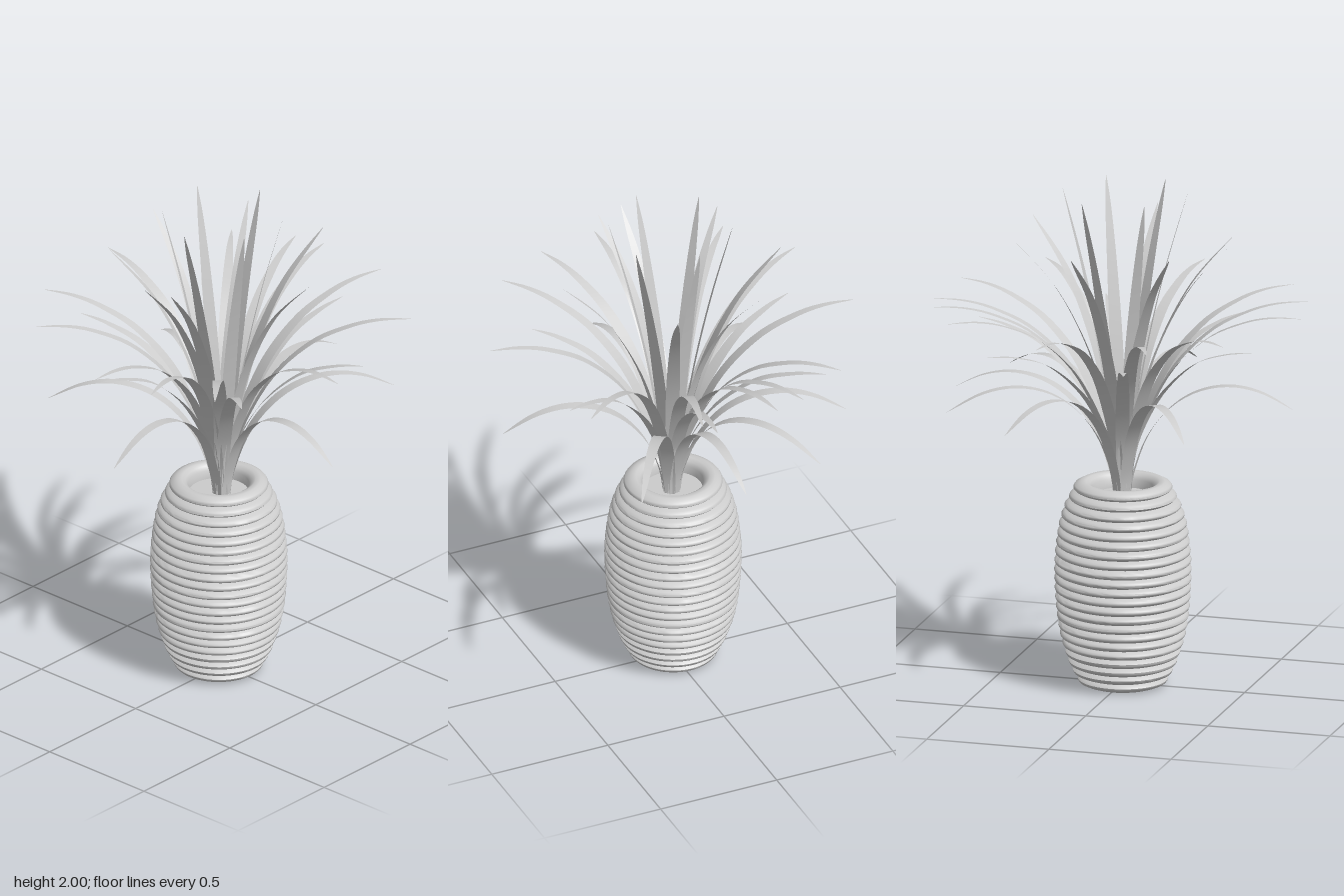
import * as THREE from 'three';
import { toCreasedNormals } from 'three/addons/utils/BufferGeometryUtils.js';

const grey = new THREE.MeshStandardMaterial({ color: 0xcccccc });
const leafGrey = new THREE.MeshStandardMaterial({ color: 0xcccccc, side: THREE.DoubleSide });
const v2 = (r, y) => new THREE.Vector2(r, y);

// Barrel pot: stacked ribs following a smooth envelope, with a recessed top
function makePot() {
  const H = 0.825, ribs = 22, pitch = H / ribs;
  const envelope = new THREE.SplineCurve([
    v2(0.165, 0), v2(0.215, 0.1), v2(0.255, 0.25), v2(0.27, 0.45),
    v2(0.26, 0.6), v2(0.24, 0.7), v2(0.21, 0.77), v2(0.185, H),
  ]);
  const samples = envelope.getPoints(200);
  const radiusAt = y => samples.reduce((a, b) => Math.abs(b.y - y) < Math.abs(a.y - y) ? b : a).x;
  const depth = [0.026, 0.011, 0.002, 0, 0.002, 0.011];
  const pts = [v2(0, 0)];
  for (let i = 0; i < ribs; i++) {
    depth.forEach((d, k) => {
      const y = (i + k / depth.length) * pitch;
      pts.push(v2(radiusAt(y) - d, y));
    });
  }
  // rounded rim, inner wall and floor of the recess
  pts.push(v2(0.165, H), v2(0.145, H), v2(0.13, 0.815), v2(0.12, 0.8), v2(0.117, 0.765), v2(0, 0.765));
  const pot = new THREE.Mesh(toCreasedNormals(new THREE.LatheGeometry(pts, 56), 0.9), grey);
  pot.name = 'ribbedPot';
  pot.position.set(-0.01, 0, 0.005);
  return pot;
}

// Thin blade along a profile of [reach, height], turned towards its tip
function makeLeaf(profile, tipX, tipZ) {
  const curve = new THREE.SplineCurve(profile.map(p => v2(...p)));
  const scale = Math.hypot(tipX, tipZ) / profile.at(-1)[0];
  const steps = 28, pos = [], index = [];
  const width = new THREE.SplineCurve([
    v2(0, 0.021), v2(0.2, 0.026), v2(0.45, 0.027), v2(0.7, 0.021), v2(0.9, 0.012), v2(1, 0.001),
  ]);
  for (let i = 0; i <= steps; i++) {
    const t = 1 - (1 - i / steps) ** 1.3;
    const p = curve.getPointAt(t), w = width.getPointAt(t).y;
    const r = p.x * (1 + (scale - 1) * t);
    pos.push(r, p.y, -w, r, p.y, w);
    if (i < steps) {
      const a = i * 2;
      index.push(a, a + 1, a + 2, a + 1, a + 3, a + 2);
    }
  }
  const geo = new THREE.BufferGeometry();
  geo.setAttribute('position', new THREE.Float32BufferAttribute(pos, 3));
  geo.setIndex(index);
  geo.computeVertexNormals();
  const leaf = new THREE.Mesh(geo, leafGrey);
  leaf.rotation.y = Math.atan2(-tipZ, tipX);
  return leaf;
}

// Leaf tiers: shared profile and the [x, z] of each tip
const tiers = {
  uprightLeaf: {
    profile: [[0.015, 0.765], [0.025, 0.9], [0.05, 1.1], [0.1, 1.4], [0.165, 1.7], [0.245, 2]],
    tips: [[-0.015, -0.24], [0.035, 0.255], [-0.185, 0.145], [-0.22, -0.1], [0.21, -0.13], [0.22, 0.11]],
  },
  slantedLeaf: {
    profile: [[0.02, 0.765], [0.03, 0.9], [0.06, 1.1], [0.14, 1.37], [0.275, 1.63], [0.45, 1.83]],
    tips: [[-0.21, -0.385], [0.16, -0.415], [-0.435, -0.08], [-0.33, 0.29], [0.12, 0.425],
      [0.01, 0.455], [0.465, 0.005]],
  },
  archedLeaf: {
    profile: [[0.025, 0.765], [0.04, 0.9], [0.085, 1.06], [0.2, 1.28], [0.35, 1.43], [0.5, 1.505],
      [0.62, 1.535], [0.74, 1.54]],
    tips: [[-0.47, -0.575], [-0.25, -0.705], [-0.125, -0.735], [0.19, -0.72], [0.565, -0.485],
      [0.725, 0.12], [0.475, 0.56], [0.25, 0.685], [0, 0.73], [-0.475, 0.555], [-0.67, 0.3], [-0.725, -0.135]],
  },
  lowArchedLeaf: {
    profile: [[0.025, 0.765], [0.04, 0.9], [0.08, 1.03], [0.18, 1.2], [0.33, 1.34], [0.48, 1.4], [0.6, 1.42]],
    tips: [[0.08, -0.615], [0.54, -0.23], [0.435, 0.36], [-0.125, 0.565], [-0.585, 0.18], [-0.48, -0.41]],
  },
  droopingLeaf: {
    profile: [[0.03, 0.765], [0.045, 0.86], [0.1, 1.01], [0.19, 1.13], [0.3, 1.205], [0.43, 1.235],
      [0.56, 1.215], [0.69, 1.15]],
    tips: [[-0.01, -0.69], [0.39, -0.58], [0.055, 0.685], [-0.54, 0.415], [-0.62, -0.295],
      [-0.365, -0.61], [0.68, 0.1]],
  },
};

export function createModel() {
  const model = new THREE.Group();
  model.name = 'pottedPlant';
  model.add(makePot());
  const foliage = new THREE.Group();
  foliage.name = 'foliage';
  for (const [name, { profile, tips }] of Object.entries(tiers)) {
    tips.forEach(([x, z], i) => {
      const leaf = makeLeaf(profile, x, z);
      leaf.name = `${name}${i + 1}`;
      foliage.add(leaf);
    });
  }
  model.add(foliage);
  return model;
}
